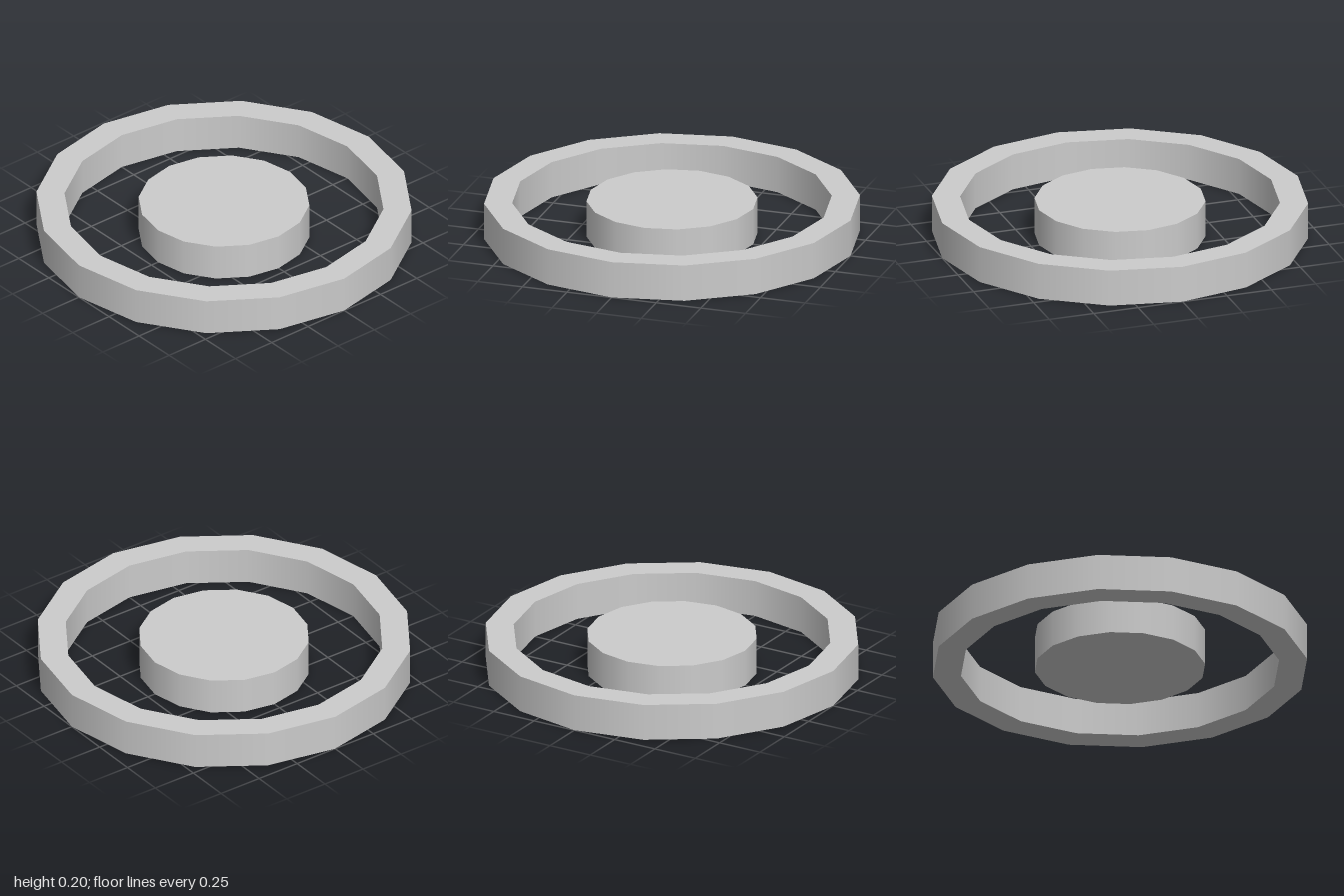
import * as THREE from 'three';
import { mergeGeometries } from 'three/addons/utils/BufferGeometryUtils.js';

const SIDES = 16;
const HEIGHT = 0.2;

// Revolve each profile edge on its own, so walls are smooth and rims stay sharp
function revolve(profile) {
  const points = profile.map(([r, y]) => new THREE.Vector2(r, y));
  const bands = [];
  for (let i = 0; i < points.length - 1; i++) {
    bands.push(new THREE.LatheGeometry([points[i], points[i + 1]], SIDES));
  }
  return mergeGeometries(bands);
}

export function createModel() {
  const group = new THREE.Group();
  const material = new THREE.MeshStandardMaterial({ color: 0xcccccc });

  // Outer ring with a rectangular section
  const outer = 1, inner = 0.85;
  const ring = new THREE.Mesh(
    revolve([[outer, 0], [outer, HEIGHT], [inner, HEIGHT], [inner, 0], [outer, 0]]),
    material
  );
  ring.name = 'outerRing';
  group.add(ring);

  // Solid disc in the middle, flush with the ring
  const disc = new THREE.Mesh(new THREE.CylinderGeometry(0.455, 0.455, HEIGHT, SIDES), material);
  disc.name = 'centreDisc';
  disc.position.y = HEIGHT / 2;
  group.add(disc);

  return group;
}
